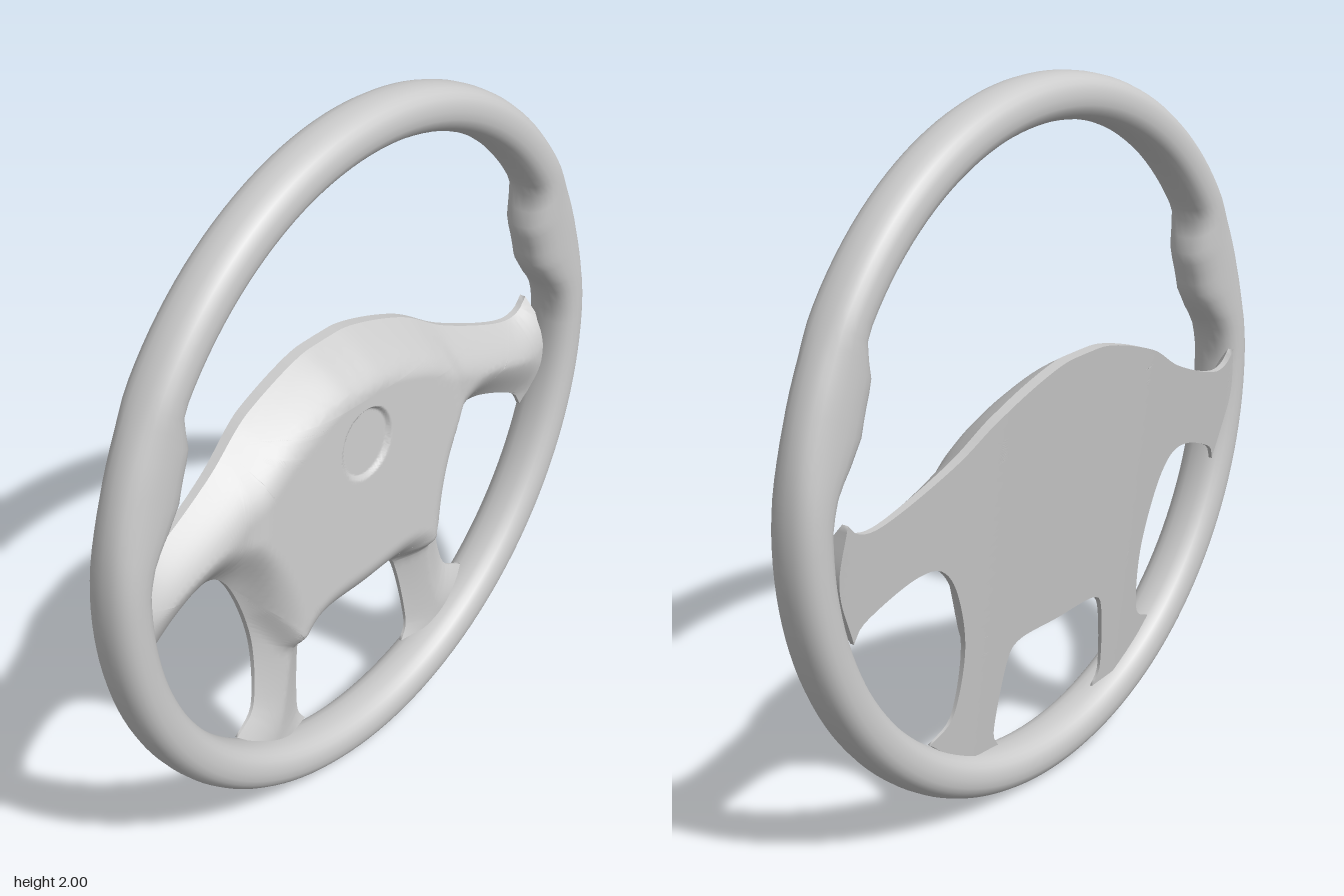
import * as THREE from 'three';
import { mergeVertices } from 'three/addons/utils/BufferGeometryUtils.js';

const grey = new THREE.MeshStandardMaterial({ color: 0xcccccc });
const { clamp, smoothstep } = THREE.MathUtils;
const V = (x, y) => new THREE.Vector2(x, y);

// Linear interpolation through [key, value] pairs
function lookup(table, t) {
  if (t <= table[0][0]) return table[0][1];
  for (let i = 1; i < table.length; i++) {
    const [a, va] = table[i - 1], [b, vb] = table[i];
    if (t <= b) return va + (vb - va) * (t - a) / (b - a);
  }
  return table[table.length - 1][1];
}

function smoothMesh(geometry, name) {
  geometry.deleteAttribute('uv');
  geometry.deleteAttribute('normal');
  const merged = mergeVertices(geometry, 1e-5);
  merged.computeVertexNormals();
  const mesh = new THREE.Mesh(merged, grey);
  mesh.name = name;
  return mesh;
}

function meshFromPoints(points, name) {
  const geometry = new THREE.BufferGeometry().setFromPoints(points);
  return smoothMesh(geometry, name);
}

// Rim: a torus whose inner radius swells into two thumb grips
function createRim() {
  const grip = [[3, 0.872], [8, 0.853], [13, 0.81], [17.5, 0.787], [27, 0.797], [33, 0.872]];
  const geometry = new THREE.TorusGeometry(1, 0.5, 24, 144);
  const pos = geometry.attributes.position;
  const round = (c) => Math.sign(c) * Math.abs(c) ** 0.85;
  for (let i = 0; i < pos.count; i++) {
    const x = pos.getX(i), y = pos.getY(i);
    const rho = Math.hypot(x, y);
    const inner = lookup(grip, Math.atan2(y, Math.abs(x)) * 180 / Math.PI);
    const r = (1 + inner) / 2 + (1 - inner) / 2 * round((rho - 1) * 2);
    pos.setXYZ(i, x / rho * r, 1 + y / rho * r, 0.04 + 0.076 * round(pos.getZ(i) * 2));
  }
  return smoothMesh(geometry, 'rim');
}

// Right half of the hub outline; spoke ends buried in the rim are not free edges
const sections = [
  { free: true, pts: [[0, 1.28], [0.1, 1.275], [0.34, 1.2], [0.5, 1.11], [0.74, 1.02], [0.8, 1.013], [0.84, 1.025], [0.87, 1.055]] },
  { free: false, pts: [[0.87, 1.055], [0.888, 0.9], [0.823, 0.715]] },
  { free: true, pts: [[0.823, 0.715], [0.805, 0.752], [0.77, 0.775], [0.62, 0.828], [0.54, 0.825], [0.48, 0.77], [0.412, 0.57], [0.422, 0.39], [0.445, 0.335], [0.515, 0.298]] },
  { free: false, pts: [[0.515, 0.298], [0.38, 0.2], [0.225, 0.178]] },
  { free: true, pts: [[0.225, 0.178], [0.25, 0.215], [0.25, 0.28], [0.222, 0.44], [0.205, 0.475], [0.17, 0.49], [0, 0.49]] },
];

function createOutline() {
  const half = [];
  for (const { free, pts } of sections) {
    const curve = new THREE.CatmullRomCurve3(pts.map(([x, y]) => new THREE.Vector3(x, y, 0)));
    const spaced = curve.getSpacedPoints(Math.ceil(curve.getLength() / 0.019));
    for (let i = 1; i < spaced.length; i++) {
      half.push({ a: V(spaced[i - 1].x, spaced[i - 1].y), b: V(spaced[i].x, spaced[i].y), free });
    }
  }
  const flip = (p) => V(-p.x, p.y);
  // Counter-clockwise: left half downwards, then right half upwards
  return [
    ...half.map((e) => ({ a: flip(e.a), b: flip(e.b), free: e.free })),
    ...half.reverse().map((e) => ({ a: e.b, b: e.a, free: e.free })),
  ];
}

function segmentDistance(p, a, b) {
  const dx = b.x - a.x, dy = b.y - a.y;
  const t = clamp(((p.x - a.x) * dx + (p.y - a.y) * dy) / (dx * dx + dy * dy), 0, 1);
  return Math.hypot(p.x - a.x - t * dx, p.y - a.y - t * dy);
}

// Raised centre pad: how far a point lies outside its convex border
const padHalf = [[0.2, 0.51], [0.3, 0.55], [0.37, 0.66], [0.415, 0.92], [0.39, 1.08], [0.22, 1.16]];
const pad = [...padHalf, ...padHalf.map(([x, y]) => [-x, y]).reverse()].map(([x, y]) => V(x, y));
function padMask(p) {
  let outside = false, d = Infinity;
  pad.forEach((a, i) => {
    const b = pad[(i + 1) % pad.length];
    if ((b.x - a.x) * (p.y - a.y) - (b.y - a.y) * (p.x - a.x) < 0) outside = true;
    d = Math.min(d, segmentDistance(p, a, b));
  });
  return outside ? 1 - smoothstep(d, 0, 0.07) : 1;
}

// Back plate leans away at the top and comes forward towards the rim
const backZ = (p) => -0.035 - 0.12 * (p.y - 0.53) + 0.05 * clamp((Math.abs(p.x) - 0.33) / 0.54, 0, 1);

const emblem = V(0, 1.01);

// Split edges at their midpoints until each is short enough, finer at the emblem
function refine(a, b, c, out) {
  const corners = [a, b, c];
  let worst = 1, k = -1, mid = null;
  for (let i = 0; i < 3; i++) {
    const p = corners[i], q = corners[(i + 1) % 3];
    const m = p.clone().add(q).multiplyScalar(0.5);
    const r = m.distanceTo(emblem);
    const ratio = p.distanceTo(q) / (r > 0.08 && r < 0.125 ? 0.009 : 0.022);
    if (ratio > worst) { worst = ratio; k = i; mid = m; }
  }
  if (k < 0) { out.push(a, b, c); return; }
  const p = corners[k], q = corners[(k + 1) % 3], r = corners[(k + 2) % 3];
  refine(p, mid, r, out);
  refine(mid, q, r, out);
}

// Hub with four spokes: rounded front, leaning back plate and a thin side wall
function createHub() {
  const edges = createOutline();
  const freeEdges = edges.filter((e) => e.free);
  const frontZ = (p) => {
    let d = Infinity;
    for (const e of freeEdges) d = Math.min(d, segmentDistance(p, e.a, e.b));
    const rounding = 0.2 + 0.8 * Math.sin(Math.PI / 2 * clamp(d / 0.13, 0, 1));
    const top = THREE.MathUtils.lerp(0.045, 0.085 - 0.05 * (p.y - 0.5), padMask(p));
    const back = backZ(p);
    const dip = 0.012 * (1 - smoothstep(p.distanceTo(emblem), 0.094, 0.106));
    return back + (top - back) * rounding - dip;
  };
  const at = (p, z) => new THREE.Vector3(p.x, p.y, z);

  const flat = [];
  // Left half runs from the top down, right half from the bottom up
  const contour = edges.map((e) => e.a);
  for (const [i, j, k] of THREE.ShapeUtils.triangulateShape(contour, [])) {
    const a = contour[i], b = contour[j], c = contour[k];
    const area = (b.x - a.x) * (c.y - a.y) - (b.y - a.y) * (c.x - a.x);
    if (area > 0) refine(a, b, c, flat);
    else refine(a, c, b, flat);
  }

  const front = flat.map((p) => at(p, frontZ(p)));
  const back = [];
  for (let i = 0; i < flat.length; i += 3) {
    for (const p of [flat[i], flat[i + 2], flat[i + 1]]) back.push(at(p, backZ(p)));
  }
  const wall = [];
  for (const { a, b } of edges) {
    const a0 = at(a, backZ(a)), b0 = at(b, backZ(b));
    const a1 = at(a, frontZ(a)), b1 = at(b, frontZ(b));
    wall.push(a0, b0, b1, a0, b1, a1);
  }

  const hub = new THREE.Group();
  hub.name = 'hubAndSpokes';
  hub.add(
    meshFromPoints(front, 'hubFront'),
    meshFromPoints(back, 'hubBackPlate'),
    meshFromPoints(wall, 'hubSideWall'),
  );
  return hub;
}

export function createModel() {
  const wheel = new THREE.Group();
  wheel.name = 'steeringWheel';
  wheel.add(createRim(), createHub());
  return wheel;
}
